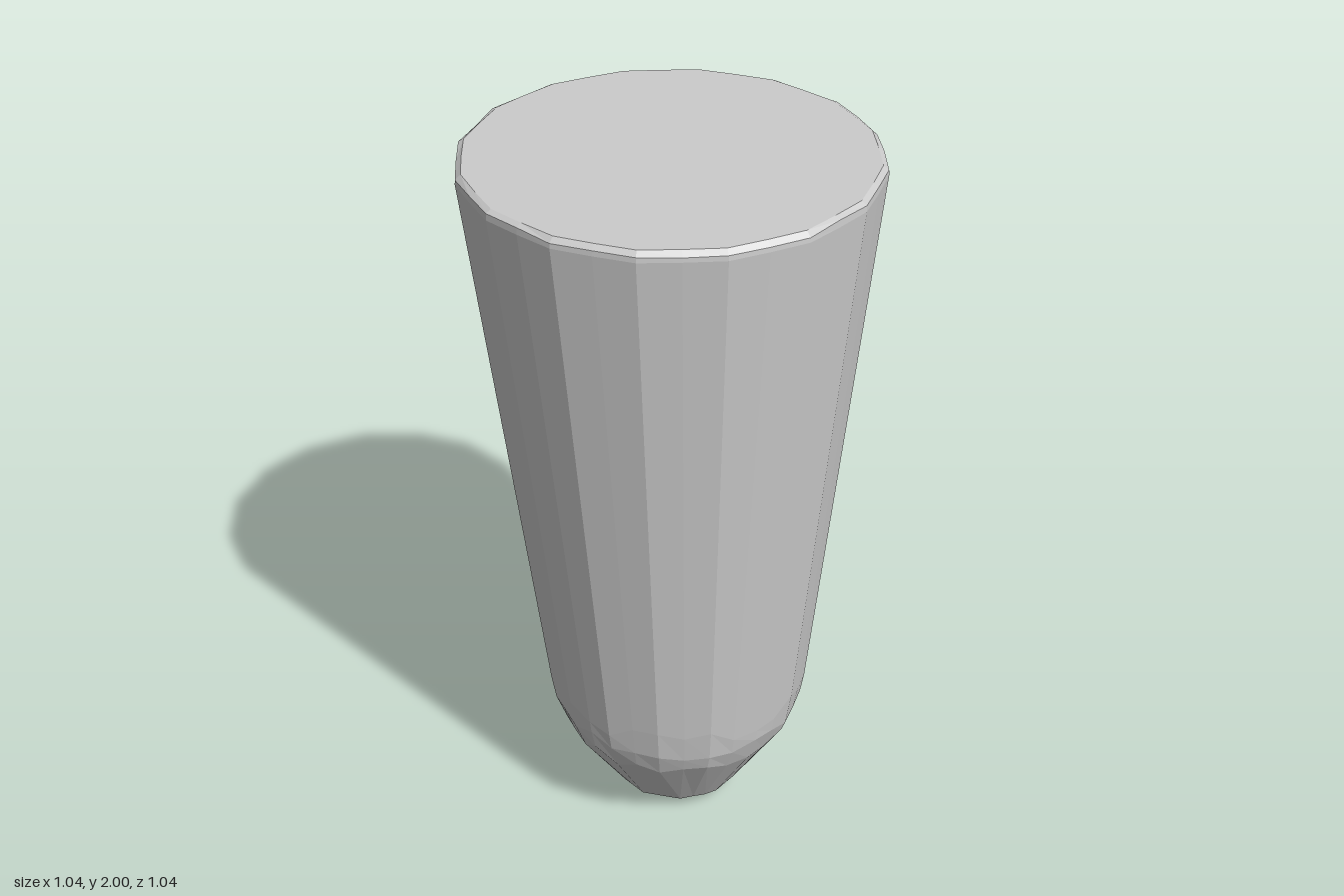
import * as THREE from 'three';

const SEGMENTS = 32;

// Cross-sections from bottom to top: radius, height, centre offset x and z, height jitter, edge bulge
const RINGS = [
  { r: 0, y: 0, cx: 0.025, cz: 0.02, jitter: 0 },
  { r: 0.1, y: 0, cx: 0.025, cz: 0.02, jitter: 0 },
  { r: 0.192, y: 0.05, cx: 0.02, cz: 0.0, jitter: 0.006 },
  { r: 0.333, y: 0.29, cx: 0.015, cz: 0.01, jitter: 0.025 },
  { r: 0.357, y: 0.36, cx: 0.016, cz: 0.012, jitter: 0.02 },
  { r: 0.367, y: 0.43, cx: 0.015, cz: 0.012, jitter: 0.03 },
  { r: 0.527, y: 1.975, cx: 0, cz: 0, jitter: 0 },
  { r: 0.526, y: 1.99, cx: 0, cz: 0, jitter: 0.004 },
  { r: 0.512, y: 2, cx: 0, cz: 0, jitter: 0 },
  { r: 0, y: 2, cx: 0, cz: 0, jitter: 0 },
];

// Repeatable irregularity between -1 and 1
function wobble(i, j) {
  const s = Math.sin(i * 12.9898 + j * 78.233) * 43758.5453;
  return (s - Math.floor(s)) * 2 - 1;
}

// Tapered faceted body with a blunt, slightly off-centre tip
function bodyGeometry() {
  const profile = RINGS.map(({ r, y }) => new THREE.Vector2(r, y));
  const geometry = new THREE.LatheGeometry(profile, SEGMENTS);
  const position = geometry.attributes.position;
  for (let k = 0; k < position.count; k++) {
    const j = k % RINGS.length;
    const i = Math.floor(k / RINGS.length) % SEGMENTS;
    const ring = RINGS[j];
    // Every other corner sits nearly on the flat between its neighbours
    const flat = i % 2 ? 1 : 0.985;
    const dy = ring.jitter * wobble(i, j);
    // Jittered corners slide along the wall so the outline is kept
    const slope = j === 3 ? 0.5 : j === 4 ? 0.25 : j === 5 ? 0.11 : 0;
    const scale = ring.r > 0 ? flat * (1 + (dy * slope) / ring.r) : 1;
    position.setXYZ(
      k,
      position.getX(k) * scale + ring.cx,
      ring.y + dy,
      position.getZ(k) * scale + ring.cz,
    );
  }
  geometry.computeVertexNormals();
  return geometry;
}

export function createModel() {
  const group = new THREE.Group();
  group.name = 'taperedPeg';
  const material = new THREE.MeshStandardMaterial({ color: 0xcccccc, flatShading: true });
  const body = new THREE.Mesh(bodyGeometry(), material);
  body.name = 'body';
  group.add(body);
  return group;
}
